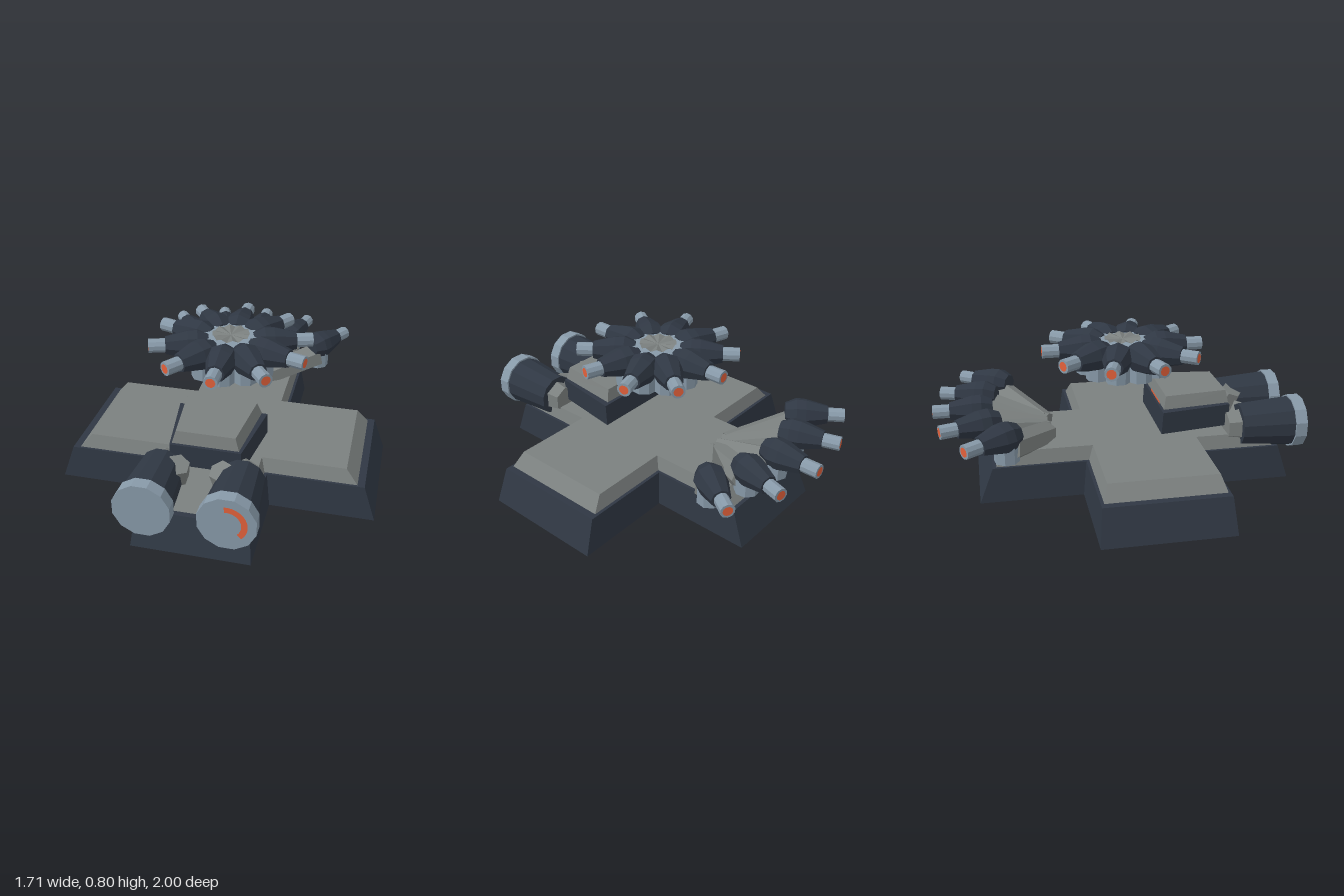
import * as THREE from 'three';

const material = (color) => new THREE.MeshStandardMaterial({ color, flatShading: true, side: THREE.DoubleSide });
const dark = material(0x2f3743);
const grey = material(0x7b807f);
const steel = material(0x8799a8);
const orange = material(0xe2603a);

function part(parent, name, geometry, mat, x = 0, y = 0, z = 0) {
  const mesh = new THREE.Mesh(geometry, mat);
  mesh.name = name;
  mesh.position.set(x, y, z);
  parent.add(mesh);
  return mesh;
}

// Solid between outlines of [x, z] points (counter-clockwise from above) at given heights
function loft(levels) {
  const pos = [];
  const put = (level, i) => pos.push(level.pts[i][0], level.y, level.pts[i][1]);
  const n = levels[0].pts.length;
  for (let k = 0; k + 1 < levels.length; k++) {
    const a = levels[k], b = levels[k + 1];
    for (let i = 0; i < n; i++) {
      const j = (i + 1) % n;
      put(a, i); put(a, j); put(b, j);
      put(a, i); put(b, j); put(b, i);
    }
  }
  const cap = (level, flip) => {
    const outline = level.pts.map(([x, z]) => new THREE.Vector2(x, -z));
    for (const f of THREE.ShapeUtils.triangulateShape(outline, [])) {
      for (const i of flip ? [f[0], f[2], f[1]] : f) put(level, i);
    }
  };
  cap(levels[0], true);
  cap(levels[levels.length - 1], false);
  const geo = new THREE.BufferGeometry();
  geo.setAttribute('position', new THREE.Float32BufferAttribute(pos, 3));
  geo.computeVertexNormals();
  return geo;
}

// Cross outline: long arm half width w from back to front, side arms reaching x between z0 and z1
const cross = (y, w, front, back, x, z0, z1) => ({
  y,
  pts: [[-w, front], [w, front], [w, z1], [x, z1], [x, z0], [w, z0],
    [w, back], [-w, back], [-w, z0], [-x, z0], [-x, z1], [-w, z1]],
});

// Trapezoid outline, wider at the back
const wedge = (y, wFront, zFront, wBack, zBack) => ({
  y, pts: [[-wFront, zFront], [wFront, zFront], [wBack, zBack], [-wBack, zBack]],
});

// Surface of revolution whose profile [radius, distance] runs along +z
function turned(profile, sides, phase = 0) {
  return new THREE.LatheGeometry(profile.map(([r, d]) => new THREE.Vector2(r, d)), sides, phase)
    .rotateX(Math.PI / 2);
}

// Gun pointing along local +z, measured from the centre of its fan
function gun() {
  const g = new THREE.Group();
  g.name = 'gun';
  part(g, 'gunHousing', turned([[0, 0.12], [0.055, 0.12], [0.083, 0.18], [0.08, 0.23], [0.05, 0.35], [0, 0.35]], 8), dark);
  part(g, 'gunBarrel', turned([[0, 0.33], [0.038, 0.33], [0.038, 0.44], [0, 0.44]], 10), steel);
  part(g, 'muzzle', new THREE.CircleGeometry(0.026, 10), orange, 0, 0, 0.4415);
  part(g, 'gunPillar', new THREE.CylinderGeometry(0.066, 0.066, 0.12, 8), steel, 0, -0.07, 0.19);
  return g;
}

// Corrugated round plate
function flutedPlate(radius, folds, depth) {
  const geo = new THREE.CircleGeometry(radius, folds * 2).rotateX(-Math.PI / 2);
  const p = geo.attributes.position;
  for (let i = 1; i < p.count; i++) p.setY(i, i % 2 ? depth : 0);
  geo.computeVertexNormals();
  return geo;
}

function base(root) {
  part(root, 'base', loft([
    cross(0, 0.305, 0.92, -0.78, 0.855, -0.23, 0.455),
    cross(0.187, 0.285, 0.86, -0.705, 0.79, -0.212, 0.438),
  ]), dark);
  part(root, 'deck', loft([
    cross(0.187, 0.27, 0.83, -0.685, 0.752, -0.195, 0.425),
    cross(0.262, 0.25, 0.775, -0.625, 0.69, -0.17, 0.4),
  ]), grey);
}

function cabin(root) {
  const g = new THREE.Group();
  g.name = 'cabin';
  part(g, 'cabinBody', loft([wedge(0.29, 0.183, 0.6, 0.24, 0.208), wedge(0.412, 0.183, 0.602, 0.24, 0.215)]), dark);
  part(g, 'cabinRoof', loft([wedge(0.42, 0.172, 0.597, 0.212, 0.225), wedge(0.487, 0.152, 0.585, 0.188, 0.24)]), grey);
  part(g, 'cabinSlit', new THREE.BoxGeometry(0.2, 0.016, 0.34), orange, 0, 0.416, 0.395);
  root.add(g);
}

function thrusters(root) {
  for (const s of [-1, 1]) {
    const g = new THREE.Group();
    g.name = s > 0 ? 'leftThruster' : 'rightThruster';
    g.position.set(s * 0.205, 0.3, 0);
    part(g, 'thrusterBody', turned([[0, 0.65], [0.115, 0.65], [0.137, 0.935], [0, 0.935]], 12, Math.PI / 12), dark);
    part(g, 'thrusterRim', turned([[0, 0.935], [0.146, 0.935], [0.146, 0.999], [0, 0.999]], 12, Math.PI / 12), steel);
    // Sloping bracket between the thruster and the deck
    const bracket = part(g, 'bracket', new THREE.CylinderGeometry(0.06, 0.09, 0.2, 6), grey, -s * 0.07, -0.01, 0.68);
    bracket.rotation.set(0.35, 0, s * 0.3);
    part(g, 'rearCone', turned([[0, 0.58], [0.075, 0.58], [0.09, 0.655]], 6), grey);
    if (s > 0) part(g, 'glow', new THREE.RingGeometry(0.07, 0.1, 12, 1, -0.8, 2.5), orange, 0, 0, 1.0);
    root.add(g);
  }
}

// Ring of ten guns hovering above the deck
function turret(root) {
  const g = new THREE.Group();
  g.name = 'turret';
  g.position.set(0, 0.718, 0.037);
  part(g, 'hub', new THREE.CylinderGeometry(0.178, 0.178, 0.12, 10), steel, 0, -0.015, 0);
  part(g, 'lowerHub', new THREE.CylinderGeometry(0.185, 0.168, 0.05, 10), steel, 0, -0.115, 0);
  part(g, 'topFlutes', flutedPlate(0.1, 10, 0.014), grey, 0, 0.047, 0);
  part(g, 'bottomFlutes', flutedPlate(0.13, 10, -0.006), grey, 0, -0.141, 0);
  for (let i = 0; i < 10; i++) {
    const m = gun();
    m.rotation.y = (i * Math.PI) / 5;
    g.add(m);
  }
  root.add(g);
}

// Five guns fanned out over the back, each carried by a rising arm
function rearBattery(root) {
  const g = new THREE.Group();
  g.name = 'rearBattery';
  const up = new THREE.Vector3(0, 1, 0);
  for (let i = -2; i <= 2; i++) {
    const angle = i * 0.297;
    const m = gun();
    const out = new THREE.Vector3(Math.sin(angle), 0, -Math.cos(angle));
    m.position.set(0, 0.412, -0.05).addScaledVector(out, 0.511);
    m.rotation.y = Math.PI - angle;
    g.add(m);
    const start = new THREE.Vector3(i * 0.035, 0.27, -0.4);
    const end = new THREE.Vector3(0, 0.35, -0.05).addScaledVector(out, 0.69);
    const arm = part(g, 'gunArm', new THREE.CylinderGeometry(0.078, 0.07, start.distanceTo(end), 6), grey);
    arm.position.copy(start).lerp(end, 0.5);
    arm.quaternion.setFromUnitVectors(up, end.clone().sub(start).normalize());
  }
  root.add(g);
}

export function createModel() {
  const root = new THREE.Group();
  root.name = 'gunPlatform';
  base(root);
  cabin(root);
  thrusters(root);
  turret(root);
  rearBattery(root);
  return root;
}
